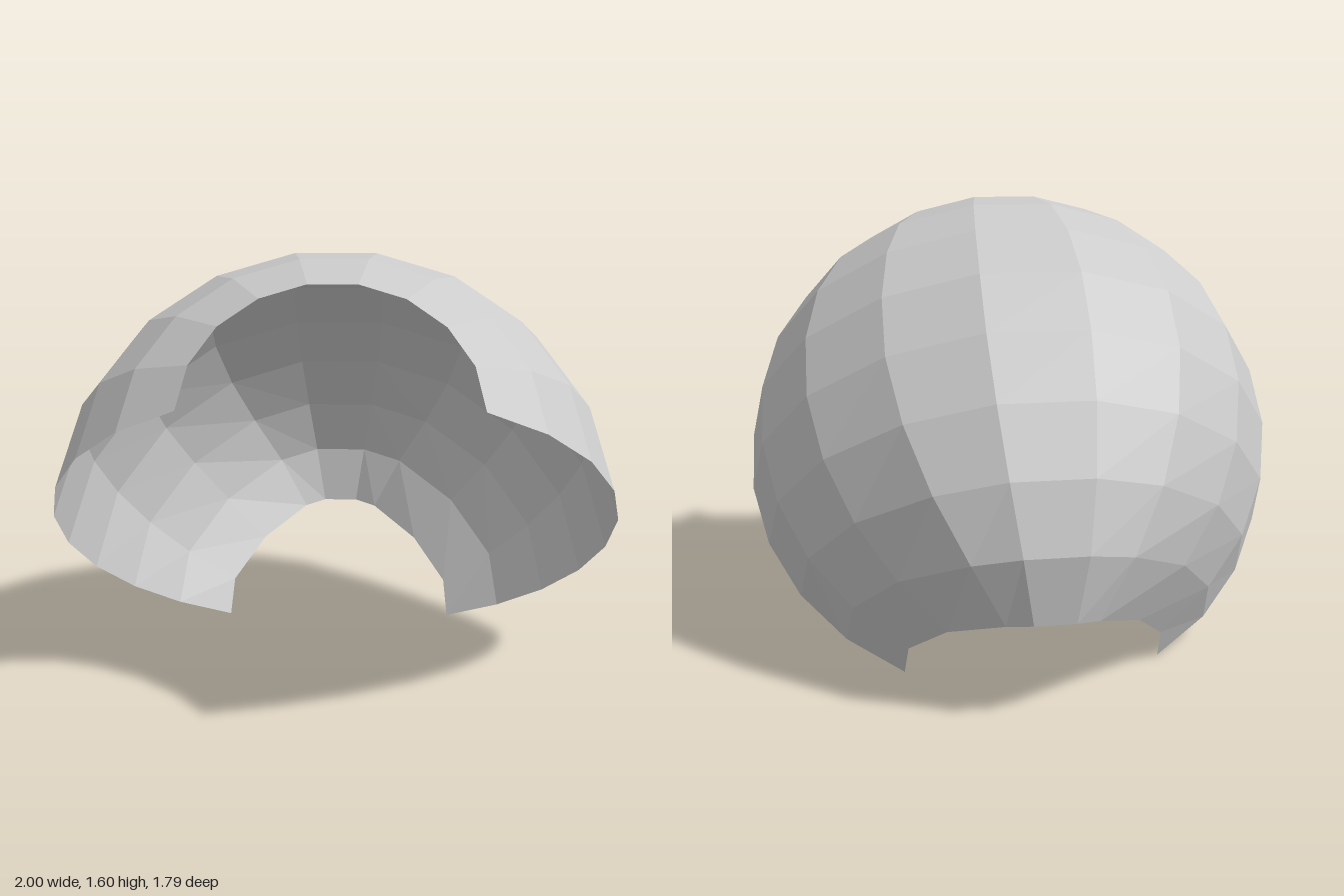
import * as THREE from 'three';

const RINGS = 9;      // bands along the shell's axis
const SEGMENTS = 9;   // strips around the half turn
const RADIUS = 1.007;
const OPENING = THREE.MathUtils.degToRad(27.4); // half angle of each end opening

// Flare of the lower back: strength per ring, then offsets from side edge to middle strip
const ringFlare = [0, 0, 0, 0, 0, 0, 0.2, 0.53, 0.9, 1.03];
const flareX = [0, 0.015, -0.025, -0.075, -0.01];
const flareAlong = [0, 0.03, 0, -0.065, -0.085];
const flareOut = [0, -0.01, 0.06, 0.14, 0.125];

// Half of a faceted sphere with both poles cut away, tilted on its axis
function shellGeometry() {
  const centre = new THREE.Vector3(0, 0.605, 0.24);
  const axis = new THREE.Vector3(0, 0.681, 0.732);
  const out = new THREE.Vector3(0, 0.732, -0.681);
  const positions = [];
  const indices = [];
  const cols = SEGMENTS + 1;

  for (let i = 0; i <= RINGS; i++) {
    const theta = OPENING + (Math.PI - 2 * OPENING) * i / RINGS;
    const r = RADIUS * Math.sin(theta);
    for (let j = 0; j <= SEGMENTS; j++) {
      const phi = Math.PI * j / SEGMENTS;
      const k = Math.min(j, SEGMENTS - j);
      const side = j < cols / 2 ? 1 : -1;
      const f = ringFlare[i];
      const p = centre.clone()
        .addScaledVector(axis, RADIUS * Math.cos(theta) + f * flareAlong[k])
        .addScaledVector(out, r * Math.sin(phi) + f * flareOut[k]);
      p.x = r * Math.cos(phi) + side * f * flareX[k];
      positions.push(p.x, p.y, p.z);

      if (i < RINGS && j < SEGMENTS) {
        const a = i * cols + j;
        const b = a + cols;
        indices.push(a, b, a + 1, b, b + 1, a + 1);
      }
    }
  }

  const geometry = new THREE.BufferGeometry();
  geometry.setAttribute('position', new THREE.Float32BufferAttribute(positions, 3));
  geometry.setIndex(indices);
  geometry.computeVertexNormals();
  return geometry;
}

export function createModel() {
  const model = new THREE.Group();
  model.name = 'openShell';
  const material = new THREE.MeshStandardMaterial({
    color: 0xcccccc, flatShading: true, side: THREE.DoubleSide,
  });
  const shell = new THREE.Mesh(shellGeometry(), material);
  shell.name = 'curvedShell';
  model.add(shell);
  return model;
}
